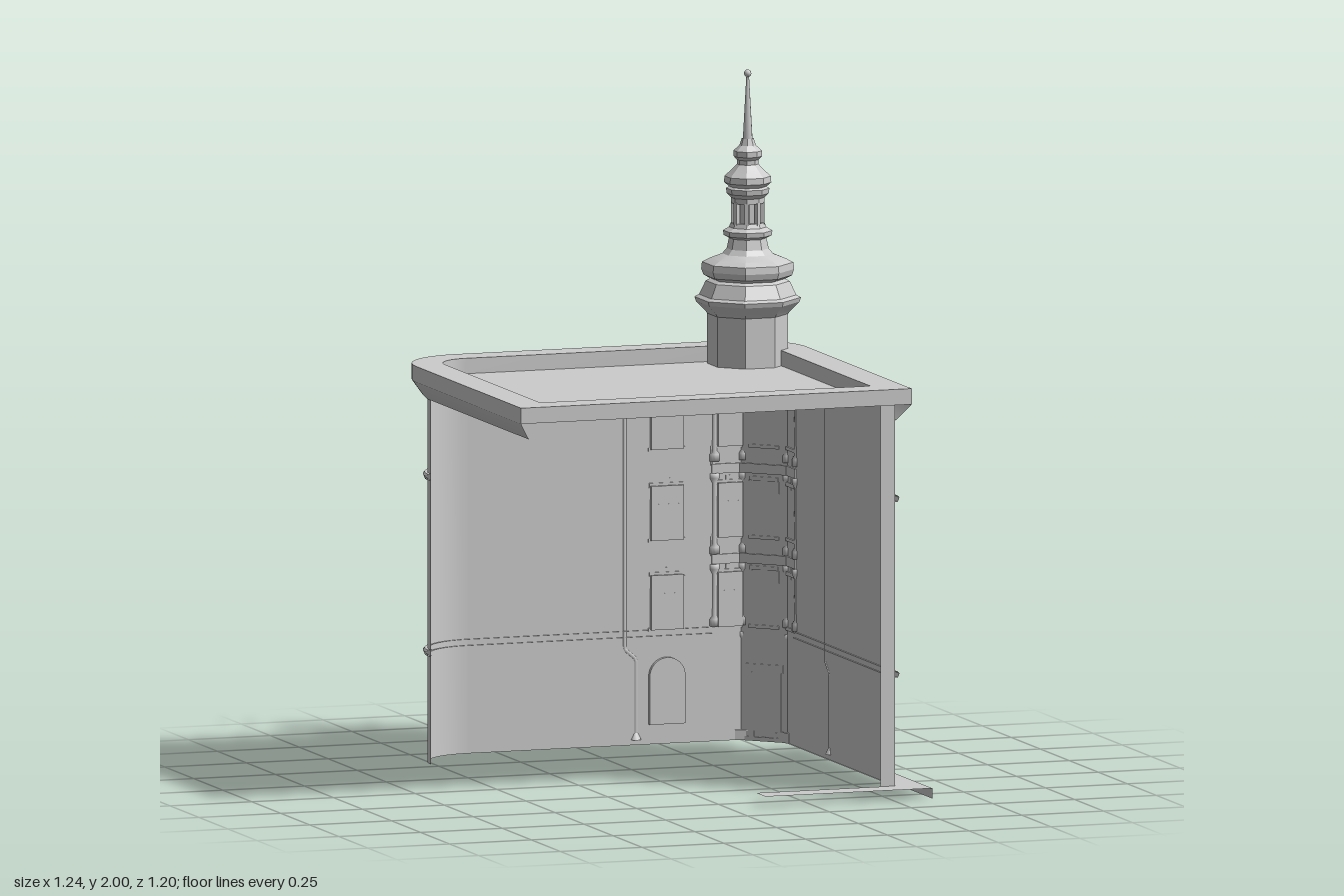
import * as THREE from 'three';
import { toCreasedNormals, mergeGeometries } from 'three/addons/utils/BufferGeometryUtils.js';

const mat = new THREE.MeshStandardMaterial({ color: 0xcccccc, side: THREE.DoubleSide });
const V2 = (x, y) => new THREE.Vector2(x, y);
const V3 = (x, y, z) => new THREE.Vector3(x, y, z);

function add(parent, name, geo, x = 0, y = 0, z = 0, ry = 0) {
  const m = new THREE.Mesh(geo, mat);
  m.name = name;
  m.position.set(x, y, z);
  m.rotation.y = ry;
  parent.add(m);
  return m;
}
const box = (p, name, w, h, d, x, y, z) => add(p, name, new THREE.BoxGeometry(w, h, d), x, y, z);

function group(parent, name, x, y, z, ry) {
  const g = new THREE.Group();
  g.name = name;
  g.position.set(x, y, z);
  g.rotation.y = ry;
  parent.add(g);
  return g;
}

// Surface joining rows of plan points; each row is [points(x,z), y]
function ribbon(rows) {
  const n = rows[0][0].length, pos = [], idx = [];
  rows.forEach(([pts, y]) => pts.forEach(p => pos.push(p.x, y, p.y)));
  for (let r = 0; r < rows.length - 1; r++)
    for (let i = 0; i < n - 1; i++) {
      const a = r * n + i, b = a + n;
      idx.push(a, b, a + 1, a + 1, b, b + 1);
    }
  const g = new THREE.BufferGeometry();
  g.setAttribute('position', new THREE.Float32BufferAttribute(pos, 3));
  g.setIndex(idx);
  return toCreasedNormals(g, 0.5);
}

const arc = (cx, cz, r, a0, a1, n) => Array.from({ length: n + 1 }, (_, i) => {
  const a = a0 + (a1 - a0) * i / n;
  return V2(cx + r * Math.cos(a), cz - r * Math.sin(a));
});

// Plan outline with both back corners rounded, open along the front
const plan = (x0, x1, zb, zf, r) => [V2(x0, zf),
  ...arc(x0 + r, zb + r, r, Math.PI, Math.PI / 2, 12),
  ...arc(x1 - r, zb + r, r, Math.PI / 2, 0, 12), V2(x1, zf)];

const planShape = pts => new THREE.Shape(pts.map(p => V2(p.x, -p.y)));
const slab = (shape, h) => new THREE.ExtrudeGeometry(shape, { depth: h, bevelEnabled: false }).rotateX(-Math.PI / 2);

// Opening outline, standing on y = 0 (square or arched head)
function opening(Type, w, h, arch, x = 0, y = 0) {
  const s = new Type();
  s.moveTo(x - w / 2, y);
  s.lineTo(x + w / 2, y);
  if (arch) s.absarc(x, y + h - w / 2, w / 2, 0, Math.PI, false);
  else s.lineTo(x + w / 2, y + h).lineTo(x - w / 2, y + h);
  s.closePath();
  return s;
}

// Window with surround, glazing bars, sill and hood; +z is outwards
function makeWindow(parent, x, y, z, ry, w, h, { arch = false, paneZ = -0.012 } = {}) {
  const g = group(parent, arch ? 'archedWindow' : 'window', x, y, z, ry);
  const frame = opening(THREE.Shape, w + 0.024, h + 0.024, arch, 0, -0.012);
  frame.holes.push(opening(THREE.Path, w - 0.004, h - 0.004, arch, 0, 0.002));
  add(g, 'surround', new THREE.ExtrudeGeometry(frame, { depth: 0.012 - Math.min(paneZ, 0), bevelEnabled: false }), 0, 0, Math.min(paneZ, 0));
  add(g, 'pane', new THREE.ShapeGeometry(opening(THREE.Shape, w, h, arch)), 0, 0, paneZ);
  if (arch) return;
  box(g, 'mullion', 0.005, h, 0.005, 0, h / 2, paneZ + 0.002);
  box(g, 'transom', w, 0.005, 0.005, 0, h * 0.68, paneZ + 0.002);
  box(g, 'sill', w + 0.036, 0.01, 0.024, 0, -0.012, 0.008);
  box(g, 'hood', w + 0.03, 0.012, 0.024, 0, h + 0.014, 0.008);
  box(g, 'keystone', 0.022, 0.034, 0.022, 0, h + 0.016, 0.01);
  for (const s of [-1, 1]) box(g, 'ear', 0.014, 0.034, 0.014, s * (w / 2 + 0.012), h - 0.01, 0.006);
}

// Scrolled console supporting a ledge, top at y = 0
function consoleGeometry(h, d) {
  const s = new THREE.Shape();
  s.moveTo(0, 0).lineTo(d, 0).lineTo(d, -h * 0.15);
  s.bezierCurveTo(d * 0.9, -h * 0.5, d * 0.25, -h * 0.3, d * 0.35, -h * 0.8);
  s.quadraticCurveTo(d * 0.3, -h, 0, -h);
  return new THREE.ExtrudeGeometry(s, { depth: 0.014, bevelEnabled: false, curveSegments: 5 })
    .translate(0, 0, -0.007).rotateY(-Math.PI / 2);
}

// Curved balcony at the corner with a scrollwork railing
function makeBalcony(parent, y) {
  const g = group(parent, 'balcony', 0, y, 0, 0);
  const C = [0.39, -0.375], a0 = -0.16, a1 = Math.PI / 2 + 0.22;
  const floor = r => planShape([...arc(...C, r, a0, a1, 7), V2(0.34, -0.515), V2(0.425, -0.515), V2(0.53, -0.41), V2(0.53, -0.34)]);
  add(g, 'balconyFloor', slab(floor(0.228), 0.014));
  add(g, 'balconyMoulding', slab(floor(0.205), 0.014), 0, -0.014, 0);
  const line = arc(...C, 0.22, a0, a1, 14);
  const pts = [V2(0.535, -0.34), ...line, V2(0.34, -0.52)];
  for (const [ry, r] of [[0.066, 0.005], [0.022, 0.003]]) {
    const path = new THREE.CurvePath();
    for (let i = 0; i < pts.length - 1; i++)
      path.add(new THREE.LineCurve3(V3(pts[i].x, ry, pts[i].y), V3(pts[i + 1].x, ry, pts[i + 1].y)));
    add(g, 'handrail', new THREE.TubeGeometry(path, 48, r, 5));
  }
  const bits = [];
  for (let i = 0; i < pts.length - 1; i++) {
    const a = pts[i], b = pts[i + 1], ang = Math.atan2(-(b.y - a.y), b.x - a.x);
    bits.push(new THREE.TorusGeometry(0.015, 0.0025, 4, 10).rotateY(ang).translate((a.x + b.x) / 2, 0.044, (a.y + b.y) / 2));
    bits.push(new THREE.CylinderGeometry(0.003, 0.003, 0.056, 5).translate(b.x, 0.038, b.y));
  }
  add(g, 'scrollwork', mergeGeometries(bits));
}

// Drainpipe with a funnel head, a jog near the ground and a flared foot
function makePipe(parent, x, z, ry, jog) {
  const g = group(parent, 'drainpipe', x, 0, z, ry);
  const p = [[0, 1.08], [0, 0.34], [0, 0.31], [jog, 0.28], [jog, 0.25], [jog, 0.05]].map(([a, b]) => V3(a, b, 0.006));
  const path = new THREE.CurvePath();
  for (let i = 0; i < p.length - 1; i++) path.add(new THREE.LineCurve3(p[i], p[i + 1]));
  add(g, 'pipe', new THREE.TubeGeometry(path, 80, 0.008, 8));
  add(g, 'pipeHead', new THREE.CylinderGeometry(0.02, 0.008, 0.025, 8), 0, 1.082, 0.006);
  add(g, 'pipeFoot', new THREE.CylinderGeometry(0.008, 0.018, 0.02, 8), jog, 0.055, 0.006);
}

// Octagonal corner tower with stacked roofs, lantern and spire
function makeTower(parent) {
  const t = group(parent, 'tower', 0.405, 0, -0.39, 0);
  const k = 1 / Math.cos(Math.PI / 8);
  const oct = (name, prof) => {
    const g = new THREE.LatheGeometry(prof.map(([r, y]) => V2(r * k, y)), 8, Math.PI / 8);
    add(t, name, toCreasedNormals(g, 0.3));
  };
  oct('towerBody', [[0.108, 1.13], [0.108, 1.29], [0.115, 1.3], [0.138, 1.325], [0.142, 1.338], [0.13, 1.345], [0.112, 1.385]]);
  oct('lowerDome', [[0.112, 1.385], [0.1, 1.392], [0.118, 1.402], [0.124, 1.42], [0.122, 1.44], [0.1, 1.452], [0.068, 1.465], [0.056, 1.48],
    [0.05, 1.51], [0.064, 1.518], [0.066, 1.532], [0.05, 1.542], [0.045, 1.555], [0, 1.555]]);
  oct('lanternCore', [[0.03, 1.55], [0.03, 1.62]]);
  oct('upperDome', [[0, 1.612], [0.045, 1.612], [0.045, 1.628], [0.056, 1.64], [0.058, 1.655], [0.05, 1.66], [0.063, 1.672], [0.062, 1.69],
    [0.04, 1.712], [0.029, 1.725], [0.029, 1.738], [0.038, 1.748], [0.038, 1.764], [0.022, 1.78], [0.016, 1.8]]);
  for (let i = 0; i < 8; i++) {
    const a = Math.PI / 8 + i * Math.PI / 4;
    add(t, 'lanternPost', new THREE.BoxGeometry(0.013, 0.065, 0.013), 0.042 * Math.sin(a), 1.583, 0.042 * Math.cos(a), a);
  }
  add(t, 'spire', new THREE.CylinderGeometry(0.004, 0.015, 0.19, 8), 0, 1.89, 0);
  add(t, 'spireBall', new THREE.SphereGeometry(0.011, 10, 8), 0, 1.989, 0);
  for (const a of [0.75 * Math.PI, Math.PI]) {
    const w = group(t, 'roundWindow', 0.108 * Math.sin(a), 1.235, 0.108 * Math.cos(a), a);
    add(w, 'roundFrame', new THREE.TorusGeometry(0.027, 0.006, 6, 20));
    add(w, 'hoodArch', new THREE.TorusGeometry(0.039, 0.005, 5, 14, Math.PI), 0, 0.005, 0);
    for (const s of [-1, 1]) box(w, 'hoodEnd', 0.012, 0.03, 0.01, s * 0.038, -0.01, 0.002);
  }
}

export function createModel() {
  const root = new THREE.Group();
  root.name = 'cornerBuilding';
  const XL = -0.58, XR = 0.535, ZB = -0.52, ZF = 0.515, Y0 = 0.03, Y1 = 1.14, R = 0.175;
  const floors = [0.375, 0.635, 0.9];

  // Walls: back wall pierced by windows, curved left end, chamfered right corner
  const wall = new THREE.Shape([V2(XL + R, Y0), V2(0.43, Y0), V2(0.43, Y1), V2(XL + R, Y1)]);
  for (const y of floors) {
    wall.holes.push(opening(THREE.Path, 0.075, 0.135, false, 0.2025, y));
    wall.holes.push(opening(THREE.Path, 0.05, 0.135, false, 0.395, y));
  }
  wall.holes.push(opening(THREE.Path, 0.085, 0.17, true, 0.2025, 0.1));
  add(root, 'backWall', new THREE.ShapeGeometry(wall), 0, 0, ZB);
  const leftArc = o => arc(XL + R, ZB + R, R + o, Math.PI, Math.PI / 2, 14);
  add(root, 'curvedWall', ribbon([[leftArc(0), Y0], [leftArc(0), Y1]]));
  const rightPath = [V2(0.43, ZB), V2(XR, -0.415), V2(XR, ZF), V2(0.49, ZF)];
  add(root, 'rightWall', ribbon([[rightPath, Y0], [rightPath, Y1]]));

  // String courses
  for (const [y, inner] of [[0.345, -0.006], [0.857, 0]]) {
    const band = f => ribbon([[f(inner), y], [f(0.008), y], [f(0.013), y + 0.012], [f(0.008), y + 0.018], [f(inner), y + 0.018]]);
    add(root, 'stringCourse', band(o => [...leftArc(o), V2(0.35, ZB - o)]));
    add(root, 'stringCourse', band(o => [V2(XR + o, -0.35), V2(XR + o, ZF)]));
  }

  // Windows
  for (const y of floors) {
    makeWindow(root, 0.2025, y, ZB, Math.PI, 0.075, 0.135);
    makeWindow(root, 0.395, y, ZB, Math.PI, 0.05, 0.135);
    makeWindow(root, XR, y, -0.39, Math.PI / 2, 0.05, 0.135, { paneZ: 0.002 });
    makeWindow(root, 0.4825, y, -0.4675, 0.75 * Math.PI, 0.06, 0.145, { paneZ: 0.002 });
  }
  makeWindow(root, 0.2025, 0.1, ZB, Math.PI, 0.085, 0.17, { arch: true });

  // Corner columns and consoles
  const column = (y, h) => new THREE.LatheGeometry([[0, 0], [0.017, 0], [0.017, 0.02], [0.01, 0.03], [0.009, h - 0.03], [0.016, h - 0.015], [0.016, h], [0, h]]
    .map(([r, v]) => V2(r, y + v)), 10);
  const stations = [[0.35, ZB, Math.PI], [0.437, ZB, Math.PI * 0.87], [XR, -0.422, Math.PI * 0.63], [XR, -0.345, Math.PI / 2]];
  stations.forEach(([x, z, a], i) => {
    const g = group(root, 'cornerPier', x, 0, z, a);
    for (const [y, h] of [[0.365, 0.18], [0.575, 0.235], [0.845, 0.245]]) {
      add(g, 'column', column(y, h), 0, 0, 0.006);
      add(g, 'console', consoleGeometry(0.075, y > 0.8 ? 0.035 : 0.055), 0, y + h, 0).rotation.y = 0;
    }
    if (i === 1 || i === 2) {
      add(g, 'groundColumn', column(0.03, 0.315), 0, 0, 0.01);
      box(g, 'plinth', 0.045, 0.03, 0.045, 0, 0.045, 0.01);
    }
  });
  makeBalcony(root, 0.56);
  makeBalcony(root, 0.823);

  // Corner entrance with half-dome canopy
  const door = group(root, 'entrance', 0.4825, 0, -0.4675, 0.75 * Math.PI);
  box(door, 'doorLeaf', 0.07, 0.2, 0.008, 0, 0.13, 0.004);
  box(door, 'doorSeam', 0.004, 0.2, 0.012, 0, 0.13, 0.004);
  box(door, 'lintel', 0.125, 0.022, 0.03, 0, 0.243, 0.012);
  box(door, 'step', 0.13, 0.012, 0.05, 0, 0.036, 0.02);
  for (const s of [-1, 1]) {
    box(door, 'jamb', 0.02, 0.2, 0.022, s * 0.045, 0.13, 0.01);
    box(door, 'jambBase', 0.028, 0.025, 0.03, s * 0.045, 0.045, 0.012);
  }
  const dome = new THREE.SphereGeometry(0.095, 16, 8, 0, Math.PI, 0, Math.PI / 2).scale(1, 1.16, 1);
  add(door, 'canopy', dome, 0, 0.235, 0);
  add(door, 'canopyRim', new THREE.TorusGeometry(0.095, 0.004, 5, 18, Math.PI).rotateX(Math.PI / 2), 0, 0.235, 0);

  makePipe(root, XR, -0.09, Math.PI / 2, -0.035);
  makePipe(root, 0.075, ZB, Math.PI, -0.035);

  // Roof: parapet rim, sunken floor and cornice
  const outline = o => plan(-0.62 + o, 0.575 - o, -0.555 + o, 0.545 - o, 0.19 - o);
  const rim = planShape(outline(0));
  rim.holes.push(new THREE.Path(plan(-0.53, 0.48, -0.465, 0.455, 0.1).map(p => V2(p.x, -p.y))));
  add(root, 'parapet', toCreasedNormals(slab(rim, 0.046), 0.5), 0, 1.143, 0);
  add(root, 'roofFloor', new THREE.ShapeGeometry(planShape(outline(0.005))).rotateX(-Math.PI / 2), 0, 1.144, 0);
  add(root, 'cornice', ribbon([[outline(0.04), 1.09], [outline(0.032), 1.098], [outline(0.002), 1.14], [outline(0), 1.145]]));
  makeTower(root);

  // Pavement strips with kerb on the right
  const flat = (w, d) => new THREE.PlaneGeometry(w, d).rotateX(-Math.PI / 2);
  add(root, 'sidePavement', flat(0.09, 1.105), 0.575, Y0, 0.0425);
  add(root, 'frontPavement', flat(0.42, 0.08), 0.32, Y0, 0.555);
  add(root, 'kerb', new THREE.PlaneGeometry(1.105, 0.03), 0.62, 0.015, 0.0425, Math.PI / 2);
  return root;
}
